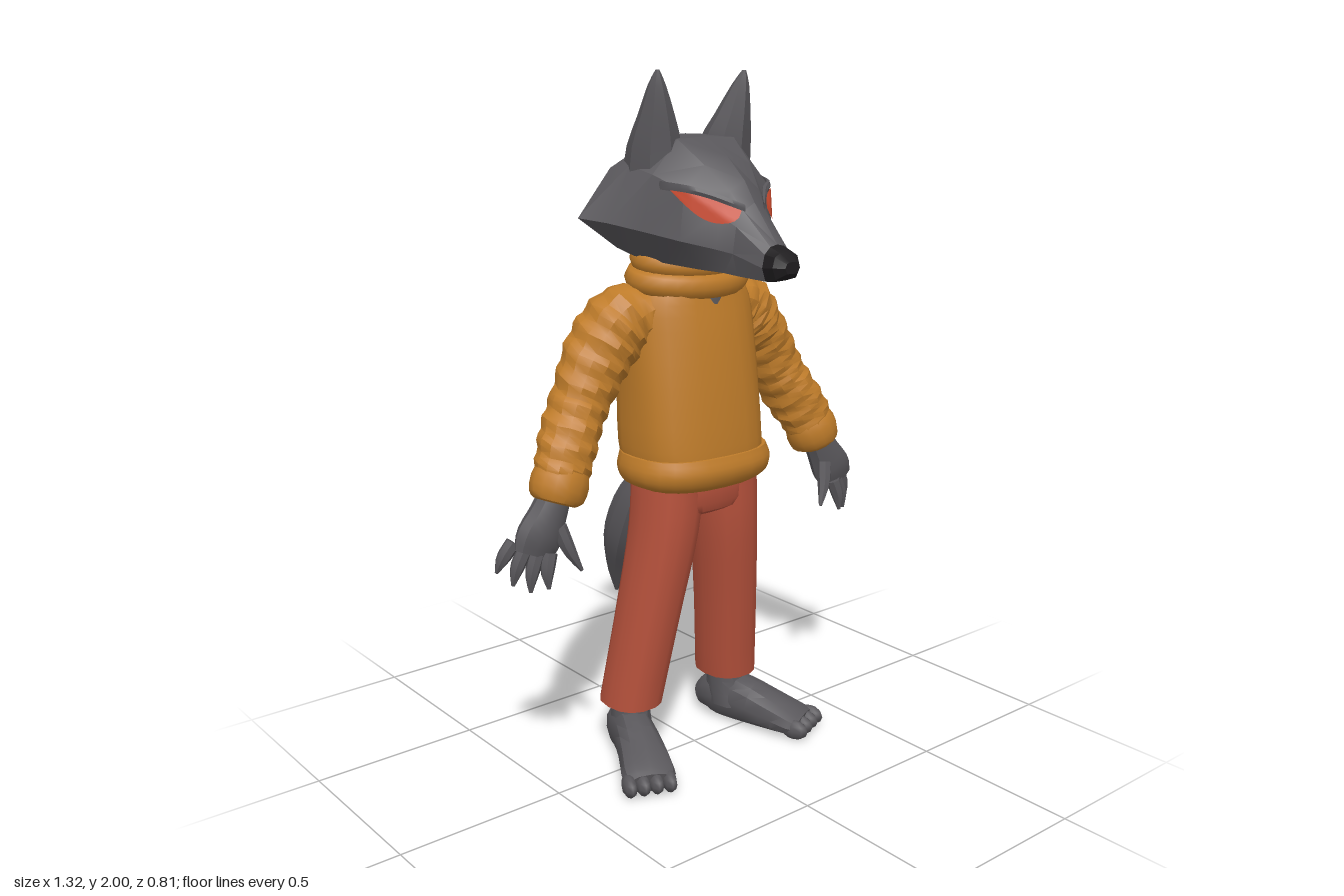
import * as THREE from 'three';
import { toCreasedNormals } from 'three/addons/utils/BufferGeometryUtils.js';

const mat = (name, color) => {
  const m = new THREE.MeshStandardMaterial({ color });
  m.name = name;
  return m;
};

// Skins a list of closed rings (counter-clockwise about the direction of travel) and caps both ends.
function skin(rings, crease = 0.6) {
  const n = rings[0].length, pos = [], idx = [];
  rings.forEach(r => r.forEach(p => pos.push(p.x, p.y, p.z)));
  for (let i = 0; i < rings.length - 1; i++) for (let j = 0; j < n; j++) {
    const k = (j + 1) % n, a = i * n, b = a + n;
    idx.push(a + j, a + k, b + j, a + k, b + k, b + j);
  }
  [0, rings.length - 1].forEach((r, end) => {
    const c = new THREE.Vector3();
    rings[r].forEach(p => c.addScaledVector(p, 1 / n));
    const ci = pos.length / 3;
    pos.push(c.x, c.y, c.z);
    for (let j = 0; j < n; j++) {
      const p = r * n + j, q = r * n + (j + 1) % n;
      idx.push(ci, end ? p : q, end ? q : p);
    }
  });
  const g = new THREE.BufferGeometry();
  g.setAttribute('position', new THREE.Float32BufferAttribute(pos, 3));
  g.setIndex(idx);
  return toCreasedNormals(g, crease);
}

// Sweeps an ellipse along stations [x, y, z, radiusA, radiusB].
function sweep(stations, { segs = 12, steps = 12, ref = [0, 0, 1], dir, box = 1, fold, s = 1, crease } = {}) {
  const path = new THREE.CatmullRomCurve3(stations.map(q => new THREE.Vector3(q[0] * s, q[1], q[2])));
  const size = new THREE.CatmullRomCurve3(stations.map(q => new THREE.Vector3(q[3], q[4], 0)));
  path.curveType = size.curveType = 'catmullrom';
  const up = new THREE.Vector3(...ref), rings = [];
  const pw = v => Math.sign(v) * Math.abs(v) ** box;
  for (let i = 0; i <= steps; i++) {
    const u = i / steps, c = path.getPoint(u), r = size.getPoint(u);
    const t = dir ? new THREE.Vector3(...dir) : path.getTangent(u);
    const a = new THREE.Vector3().crossVectors(t, up).normalize();
    const b = new THREE.Vector3().crossVectors(a, t);
    rings.push(Array.from({ length: segs }, (_, j) => {
      const th = j / segs * Math.PI * 2, f = fold ? 1 + fold(u, th) : 1;
      return c.clone().addScaledVector(a, pw(Math.cos(th)) * r.x * f).addScaledVector(b, -pw(Math.sin(th)) * r.y * f);
    }));
  }
  return skin(rings, crease);
}

// Rings across the head at depth z, from half outlines running chin to crown.
const headRings = sections => sections.map(([z, ...half]) => {
  const right = half.map(([x, y]) => new THREE.Vector3(x, y, z));
  const left = half.slice(1, -1).reverse().map(([x, y]) => new THREE.Vector3(-x, y, z));
  return [...right, ...left];
});

export function createModel() {
  const root = new THREE.Group();
  root.name = 'standingWolf';
  const fur = mat('greyFur', 0x59575b), knit = mat('ochreSweater', 0xbf7c2a);
  const cloth = mat('redTrousers', 0xb9533d), black = mat('blackNose', 0x1f1d1f), eyeRed = mat('redEye', 0xcb4a2e);
  const add = (name, geo, m) => {
    const mesh = new THREE.Mesh(geo, m);
    mesh.name = name;
    root.add(mesh);
    return mesh;
  };

  // Head with wide pointed cheeks and a long muzzle
  const tip = [0.34, [0, 1.46], [0.04, 1.464], [0.052, 1.5], [0.044, 1.535], [0.024, 1.553], [0, 1.558]];
  const head = add('head', skin(headRings([
    [-0.145, [0, 1.57], [0.1, 1.57], [0.2, 1.62], [0.14, 1.7], [0.07, 1.74], [0, 1.745]],
    [-0.12, [0, 1.52], [0.18, 1.52], [0.31, 1.61], [0.2, 1.74], [0.1, 1.79], [0, 1.79]],
    [-0.04, [0, 1.5], [0.17, 1.5], [0.27, 1.6], [0.195, 1.75], [0.1, 1.825], [0, 1.83]],
    [0.05, [0, 1.485], [0.14, 1.49], [0.215, 1.58], [0.185, 1.73], [0.1, 1.82], [0, 1.825]],
    [0.14, [0, 1.477], [0.1, 1.48], [0.165, 1.56], [0.15, 1.69], [0.08, 1.755], [0, 1.775]],
    [0.21, [0, 1.472], [0.07, 1.475], [0.1, 1.54], [0.088, 1.63], [0.05, 1.69], [0, 1.715]],
    [0.25, [0, 1.468], [0.058, 1.47], [0.075, 1.53], [0.064, 1.6], [0.038, 1.64], [0, 1.66]],
    tip,
  ]), 0.45), fur);

  // Nose
  add('nose', skin(headRings([
    tip,
    [0.375, [0, 1.468], [0.036, 1.472], [0.048, 1.503], [0.04, 1.53], [0.022, 1.54], [0, 1.542]],
    [0.4, [0, 1.487], [0.018, 1.488], [0.026, 1.502], [0.02, 1.514], [0.01, 1.518], [0, 1.518]],
  ]), 0.45), black);

  // Slanted eyes laid onto the head surface, each under a heavy brow
  head.updateMatrixWorld();
  const ray = new THREE.Raycaster();
  const onFace = (x, y) => {
    ray.set(new THREE.Vector3(x, y, 2), new THREE.Vector3(0, 0, -1));
    const hit = ray.intersectObject(head)[0];
    return hit ? hit.point.z : 0.1;
  };
  const lid = u => 1.642 + 0.05 * u + 0.006 * Math.sin(Math.PI * u);
  for (const s of [1, -1]) {
    const side = s > 0 ? 'left' : 'right', U = 12, V = 5, pos = [], idx = [];
    for (let i = 0; i <= U; i++) for (let j = 0; j <= V; j++) {
      const u = i / U, x = s * (0.045 + 0.125 * u);
      const y = lid(u) - j / V * 0.062 * Math.sin(Math.PI * u) ** 0.7;
      pos.push(x, y, onFace(x, y) + 0.008);
      if (i < U && j < V) {
        const a = i * (V + 1) + j, b = a + 1, c = a + V + 1, d = c + 1;
        idx.push(...(s > 0 ? [a, b, c, b, d, c] : [a, c, b, b, c, d]));
      }
    }
    const eye = new THREE.BufferGeometry();
    eye.setAttribute('position', new THREE.Float32BufferAttribute(pos, 3));
    eye.setIndex(idx);
    eye.computeVertexNormals();
    add(side + 'Eye', eye, eyeRed);
    add(side + 'Brow', sweep([-0.08, 0.2, 0.5, 0.8, 1.08].map((u, k) => {
      const x = 0.045 + 0.125 * u, y = lid(u) + 0.009;
      return [x, y, onFace(s * x, y) + 0.003, [0.004, 0.011, 0.012, 0.01, 0.003][k], 0.013];
    }), { s, segs: 6, ref: [0, 1, 0], dir: [s, 0, 0] }), fur);

    // Tall upright ears
    add(side + 'Ear', sweep([
      [0.125, 1.7, -0.035, 0.075, 0.09], [0.125, 1.8, -0.02, 0.075, 0.075], [0.135, 1.88, 0.003, 0.052, 0.05],
      [0.147, 1.96, 0.022, 0.025, 0.024], [0.152, 2.0, 0.032, 0.005, 0.005],
    ], { s, segs: 8, steps: 8, dir: [0, 1, 0] }), fur);

    // Creased sleeves with gathered cuffs
    const fold = (u, th) => (u < 0.12 ? 0.01 : 0.05) * Math.sin(u * 62 + 1.8 * Math.sin(th * 2)) + 0.025 * Math.sin(th * 3 + u * 17);
    add(side + 'Sleeve', sweep([
      [0.14, 1.36, -0.06, 0.075, 0.1], [0.22, 1.315, -0.065, 0.105, 0.105], [0.295, 1.23, -0.065, 0.098, 0.095],
      [0.365, 1.115, -0.055, 0.085, 0.085], [0.425, 1.015, -0.025, 0.085, 0.08], [0.475, 0.92, 0, 0.077, 0.07],
    ], { s, segs: 14, steps: 34, fold, crease: 0.5 }), knit);
    add(side + 'Cuff', sweep([
      [0.452, 0.955, -0.008, 0.074, 0.066], [0.468, 0.925, 0, 0.085, 0.075], [0.486, 0.885, 0.005, 0.08, 0.07], [0.492, 0.87, 0.006, 0.06, 0.055],
    ], { s, segs: 14, steps: 6 }), knit);

    // Hands with four pointed fingers and a thumb
    add(side + 'Palm', sweep([
      [0.485, 0.9, 0.003, 0.045, 0.042], [0.515, 0.845, 0.008, 0.055, 0.045], [0.55, 0.785, 0.012, 0.07, 0.045], [0.57, 0.74, 0.015, 0.062, 0.03],
    ], { s, segs: 10, steps: 8 }), fur);
    [[0.61, 0.775, -0.02, 0.657, 0.695, -0.035], [0.592, 0.755, 0.005, 0.628, 0.662, 0],
      [0.565, 0.745, 0.025, 0.592, 0.643, 0.03], [0.535, 0.745, 0.04, 0.55, 0.65, 0.055],
      [0.5, 0.81, 0.035, 0.452, 0.685, 0.07]].forEach(([x, y, z, X, Y, Z]) => add(side + 'Finger', sweep([
      [x, y, z, 0.022, 0.022], [(x + X) / 2 + 0.006, (y + Y) / 2, (z + Z) / 2, 0.019, 0.02], [X, Y, Z, 0.005, 0.005],
    ], { s, segs: 7, steps: 5 }), fur));

    // Trouser legs
    add(side + 'TrouserLeg', sweep([
      [0.1, 0.87, 0, 0.09, 0.115], [0.115, 0.7, -0.005, 0.09, 0.108], [0.15, 0.45, -0.035, 0.086, 0.1], [0.186, 0.17, -0.075, 0.084, 0.096],
    ], { s, segs: 14, steps: 10, dir: [0, -1, 0], box: 0.85 }), cloth);

    // Turned-out bare feet
    add(side + 'Ankle', sweep([
      [0.182, 0.24, -0.08, 0.05, 0.055], [0.187, 0.14, -0.075, 0.055, 0.065], [0.192, 0.06, -0.06, 0.06, 0.075],
    ], { s, segs: 10, steps: 4, dir: [0, -1, 0] }), fur);
    add(side + 'Foot', sweep([
      [0.17, 0.05, -0.17, 0.03, 0.035], [0.183, 0.07, -0.12, 0.052, 0.066], [0.205, 0.078, -0.04, 0.06, 0.076],
      [0.25, 0.058, 0.07, 0.072, 0.057], [0.283, 0.042, 0.14, 0.078, 0.041], [0.297, 0.035, 0.17, 0.066, 0.03],
    ], { s, segs: 12, ref: [0, 1, 0], box: 0.85 }), fur);
    for (let k = -1.5; k <= 1.5; k++) {
      const toe = new THREE.SphereGeometry(1, 8, 6).scale(0.022, 0.031, 0.045);
      toe.rotateY(s * 0.39).translate(s * (0.3 + k * 0.036), 0.032, 0.163 - k * 0.015);
      add(side + 'Toe', toe, fur);
    }
  }

  // Sweater body, rolled hem and front band
  const upright = { dir: [0, 1, 0], segs: 24, box: 0.8 };
  add('sweaterBody', sweep([
    [0, 0.88, 0, 0.2, 0.15], [0, 0.96, -0.012, 0.215, 0.163], [0, 1.13, -0.028, 0.21, 0.163],
    [0, 1.28, -0.042, 0.203, 0.155], [0, 1.38, -0.05, 0.195, 0.142], [0, 1.44, -0.04, 0.15, 0.12],
  ], { ...upright, steps: 14, fold: (u, th) => 0.012 * Math.sin(th * 5 + u * 6) }), knit);
  add('sweaterHem', sweep([
    [0, 0.85, 0, 0.19, 0.14], [0, 0.868, 0, 0.222, 0.16], [0, 0.905, 0, 0.232, 0.172], [0, 0.945, -0.005, 0.22, 0.165],
  ], { ...upright, steps: 8 }), knit);

  // Rolled collar, lower at the front
  [[1.435, 0.162, 0.115, 0.036], [1.488, 0.148, 0.106, 0.032]].forEach(([y, rx, rz, tube]) => {
    const g = new THREE.TorusGeometry(1, 0.22, 8, 28).rotateX(Math.PI / 2).scale(rx, tube / 0.22, rz);
    add('collarRoll', g.rotateX(0.16).translate(0, y, -0.032), knit);
  });
  add('neck', new THREE.CylinderGeometry(0.11, 0.13, 0.18, 16).translate(0, 1.46, -0.035), fur);

  // Trouser seat
  add('trouserSeat', sweep([
    [0, 0.755, -0.003, 0.08, 0.07], [0, 0.785, 0, 0.17, 0.11], [0, 0.88, 0, 0.188, 0.12],
  ], { ...upright, steps: 5 }), cloth);

  // Bushy hanging tail with a loose tuft
  add('tail', sweep([
    [0, 0.9, -0.15, 0.025, 0.025], [0, 0.83, -0.215, 0.04, 0.035], [0, 0.73, -0.265, 0.08, 0.065],
    [0, 0.6, -0.32, 0.088, 0.07], [0, 0.48, -0.37, 0.05, 0.042], [0, 0.38, -0.395, 0.006, 0.006],
  ], { segs: 10, steps: 14, crease: 0.5 }), fur);
  add('tailTuft', sweep([
    [0, 0.74, -0.23, 0.022, 0.02], [0, 0.715, -0.17, 0.02, 0.016], [0, 0.67, -0.13, 0.012, 0.01],
  ], { segs: 6, steps: 5, ref: [0, 1, 0] }), fur);

  return root;
}
